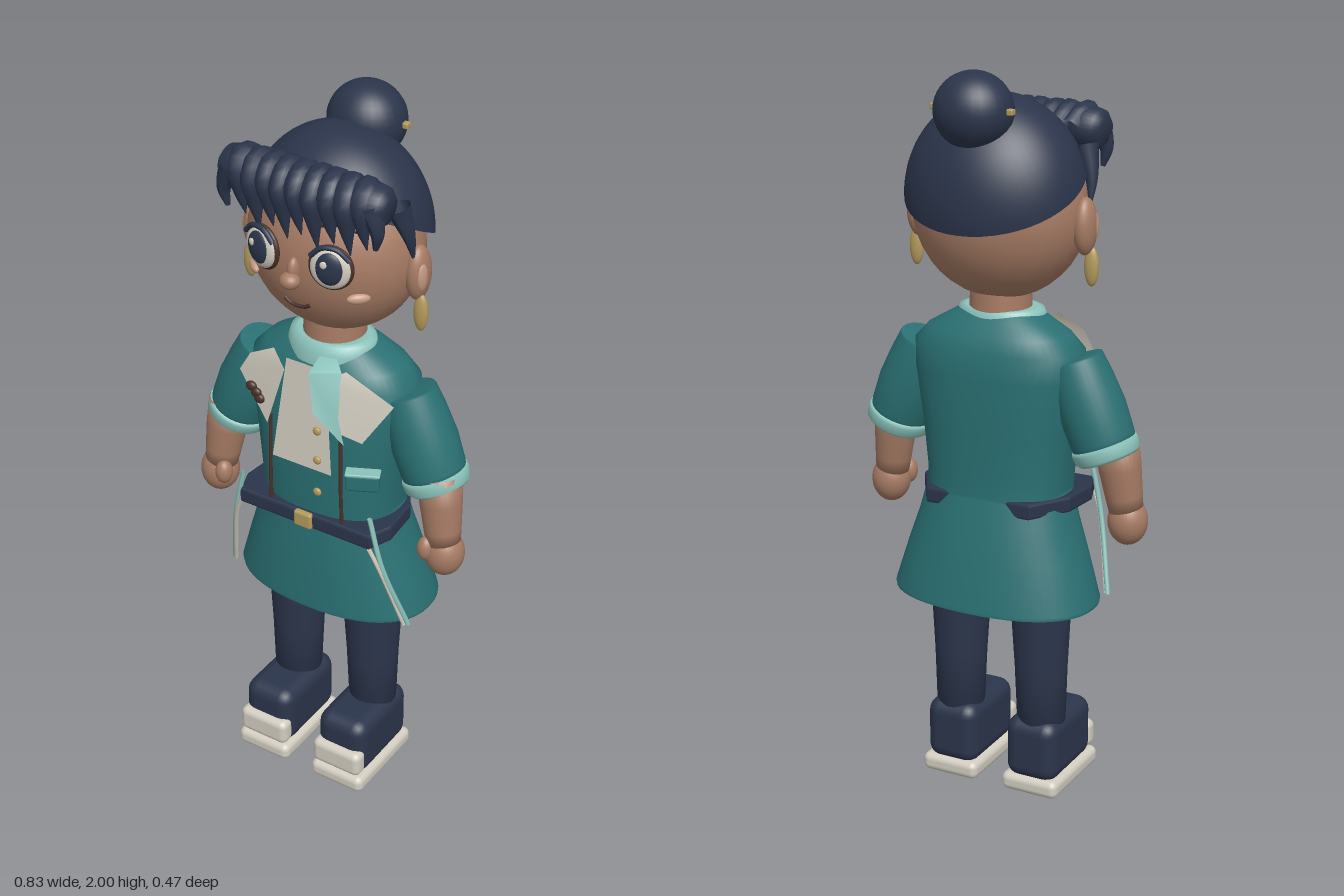
import * as THREE from 'three';
import { RoundedBoxGeometry } from 'three/addons/geometries/RoundedBoxGeometry.js';

const mat = (name, color, side = THREE.FrontSide) => {
  const m = new THREE.MeshStandardMaterial({ color, side });
  m.name = name;
  return m;
};
const V = (p) => new THREE.Vector3(...p);

export function createModel() {
  const root = new THREE.Group();
  const D = THREE.DoubleSide;
  const teal = mat('teal cloth', 0x2a7073), navy = mat('navy', 0x2b354b, D), skin = mat('skin', 0xa67b64),
    cream = mat('cream', 0xd3cdc0, D), mint = mat('pale teal', 0x8cc3bb, D), gold = mat('gold', 0xb39a5c),
    brown = mat('dark brown', 0x4a3028), blush = mat('blush', 0xc49a84);

  const add = (name, geo, material, pos = [0, 0, 0], parent = root) => {
    const m = new THREE.Mesh(geo, material);
    m.name = name;
    m.position.set(...pos);
    parent.add(m);
    return m;
  };
  const ball = (name, material, pos, r, parent = root) =>
    add(name, new THREE.SphereGeometry(1, 28, 20).scale(...r), material, pos, parent);
  const box = (name, material, pos, size, r = 0.01, parent = root) =>
    add(name, new RoundedBoxGeometry(...size, 3, r), material, pos, parent);

  // Closed body from stacked rings [y, half width, front z, back z]
  const loft = (rings, pow = 2, n = 48) => {
    const pos = [], idx = [], se = (v) => Math.sign(v) * Math.abs(v) ** (2 / pow);
    const ring = ([y, rx, zf, zb]) => {
      for (let j = 0; j < n; j++) {
        const a = (j / n) * Math.PI * 2, c = (zf + zb) / 2;
        pos.push(se(Math.cos(a)) * rx, y, c + se(Math.sin(a)) * (zf - zb) / 2);
      }
    };
    rings.forEach(ring);
    for (let i = 0; i < rings.length - 1; i++) for (let j = 0; j < n; j++) {
      const p = i * n + j, q = i * n + (j + 1) % n;
      idx.push(p, p + n, q, q, p + n, q + n);
    }
    [rings[0], rings[rings.length - 1]].forEach((r, k) => {
      const s = pos.length / 3;
      ring(r);
      pos.push(0, r[0], (r[2] + r[3]) / 2);
      for (let j = 0; j < n; j++) {
        const a = s + j, b = s + (j + 1) % n;
        idx.push(s + n, k ? b : a, k ? a : b);
      }
    });
    const g = new THREE.BufferGeometry();
    g.setAttribute('position', new THREE.Float32BufferAttribute(pos, 3));
    g.setIndex(idx);
    g.computeVertexNormals();
    return g;
  };

  // Round limb between two points; profile is [fraction of length, radius]
  const limb = (name, material, a, b, profile, parent = root) => {
    const A = V(a), dir = V(b).sub(A), len = dir.length();
    const pts = profile.map(([t, r]) => new THREE.Vector2(r, t * len));
    const m = add(name, new THREE.LatheGeometry(pts, 32), material, a, parent);
    m.quaternion.setFromUnitVectors(new THREE.Vector3(0, 1, 0), dir.normalize());
    return m;
  };

  // Flat cloth piece as a fan of corners
  const panel = (name, material, corners) => {
    const g = new THREE.BufferGeometry().setFromPoints(corners.map(V));
    g.setIndex(corners.slice(2).flatMap((_, i) => [0, i + 1, i + 2]));
    g.computeVertexNormals();
    return add(name, g, material);
  };

  // Tube along a curve, thinned by a taper rule
  const strand = (name, material, points, r, taper = () => 1, parent = root) => {
    const curve = new THREE.CatmullRomCurve3(points.map(V)), N = 16, R = 10;
    const g = new THREE.TubeGeometry(curve, N, r, R), p = g.attributes.position, v = new THREE.Vector3();
    for (let i = 0; i < p.count; i++) {
      const t = Math.floor(i / (R + 1)) / N, c = curve.getPointAt(t);
      v.fromBufferAttribute(p, i).sub(c).multiplyScalar(taper(t)).add(c);
      p.setXYZ(i, v.x, v.y, v.z);
    }
    g.computeVertexNormals();
    return add(name, g, material, [0, 0, 0], parent);
  };

  // Tunic and skirt
  add('tunic', loft([[0.86, 0.2, 0.145, -0.14], [0.92, 0.202, 0.148, -0.135], [1.05, 0.215, 0.15, -0.138],
    [1.2, 0.238, 0.145, -0.14], [1.27, 0.238, 0.128, -0.132], [1.31, 0.2, 0.112, -0.115],
    [1.345, 0.14, 0.09, -0.09], [1.365, 0.105, 0.08, -0.07]], 2.4), teal);
  add('skirt', loft([[0.57, 0.29, 0.165, -0.2], [0.58, 0.292, 0.166, -0.2], [0.7, 0.255, 0.16, -0.18],
    [0.8, 0.222, 0.152, -0.158], [0.89, 0.2, 0.142, -0.135]], 2.3), teal);

  // Belt, wide at the sides and sunk into the cloth at the back
  const bs = new THREE.Shape([[-0.2, 0.155], [0.2, 0.155], [0.225, 0.09], [0.215, -0.02], [0.15, -0.125], [-0.15, -0.125],
    [-0.215, -0.02], [-0.225, 0.09]].map(([x, z]) => new THREE.Vector2(x, -z)));
  const beltGeo = new THREE.ExtrudeGeometry(bs, { depth: 0.03, bevelSize: 0.006, bevelThickness: 0.007, bevelSegments: 2 });
  add('belt', beltGeo.rotateX(-Math.PI / 2), navy, [0, 0.843, 0]);
  box('buckle', gold, [0, 0.858, 0.16], [0.056, 0.048, 0.02], 0.008);

  // Collar, shirt front, lapels and scarf end
  add('neck', new THREE.CylinderGeometry(0.08, 0.085, 0.13, 32), skin, [0, 1.385, 0.005]);
  add('collar', loft([[1.315, 0.125, 0.115, -0.09], [1.345, 0.125, 0.112, -0.085], [1.368, 0.117, 0.1, -0.078],
    [1.372, 0.1, 0.09, -0.07]]), mint);
  panel('shirtFront', cream, [[-0.06, 1.33, 0.142], [-0.095, 1.03, 0.161], [0.088, 1.03, 0.161], [0.06, 1.33, 0.142]]);
  panel('rightLapel', cream, [[-0.06, 1.3, 0.152], [-0.11, 1.335, 0.125], [-0.185, 1.295, 0.125], [-0.22, 1.235, 0.125],
    [-0.11, 1.125, 0.162]]);
  panel('leftLapel', cream, [[0.06, 1.3, 0.152], [0.11, 1.17, 0.162], [0.175, 1.155, 0.15], [0.25, 1.275, 0.12],
    [0.11, 1.335, 0.125]]);
  panel('scarfEnd', mint, [[0.03, 1.33, 0.175], [0.055, 1.23, 0.195], [0.13, 1.14, 0.165], [0.115, 1.22, 0.17],
    [0.1, 1.33, 0.13]]);
  panel('scarfFold', mint, [[0.03, 1.33, 0.175], [0.1, 1.33, 0.13], [0.07, 1.35, 0.105], [0.02, 1.345, 0.11]]);
  for (const y of [1.155, 1.065, 0.965]) ball('button', gold, [0.046, y, 0.163], [0.012, 0.012, 0.007]);
  for (const [x, y] of [[-0.165, 1.215], [-0.15, 1.2], [-0.14, 1.185]])
    ball('brooch', brown, [x, y, 0.152], [0.016, 0.014, 0.01]);
  box('pocket', teal, [0.165, 1.025, 0.13], [0.09, 0.05, 0.035], 0.008).rotation.y = 0.45;
  box('pocketFlap', mint, [0.167, 1.052, 0.132], [0.092, 0.008, 0.038], 0.003).rotation.y = 0.45;

  for (const s of [-1, 1]) {
    const side = new THREE.Group();
    side.name = s > 0 ? 'leftLimbs' : 'rightLimbs';
    root.add(side);

    // Front seams and loose skirt trims
    strand('frontSeam', brown, [[s * 0.108, 1.15, 0.148], [s * 0.11, 1.0, 0.15], [s * 0.112, 0.88, 0.147]], 0.005);
    strand('skirtTrim', mint, [[s * 0.2, 0.93, 0.15], [s * 0.235, 0.78, 0.142], [s * 0.285, 0.575, 0.085]], 0.007);
    strand('trimEdge', cream, [[s * 0.205, 0.84, 0.16], [s * 0.228, 0.78, 0.148], [s * 0.276, 0.575, 0.092]], 0.006);

    // Arm: sleeve, cuff, forearm, hand
    const sh = [s * 0.22, 1.255, 0], el = [s * 0.315, 1.01, 0.003];
    limb('sleeve', teal, el, sh, [[0, 0], [0, 0.08], [0.15, 0.087], [0.45, 0.09], [0.75, 0.083], [0.98, 0.074],
      [1, 0.072], [1, 0]], side);
    limb('cuff', mint, el, sh, [[-0.04, 0], [-0.05, 0.08], [-0.02, 0.088], [0.07, 0.091], [0.11, 0.088], [0.11, 0.07]], side);
    limb('forearm', skin, [s * 0.357, 0.85, 0.035], [s * 0.33, 1.05, 0.02],
      [[0, 0], [0, 0.046], [0.2, 0.05], [0.6, 0.057], [1, 0.06], [1, 0]], side);
    ball('hand', skin, [s * 0.362, 0.82, 0.036], [0.054, 0.066, 0.054], side);
    ball('thumb', skin, [s * 0.325, 0.838, 0.07], [0.024, 0.036, 0.025], side);

    // Leg and shoe
    limb('leg', navy, [s * 0.127, 0.17, 0.005], [s * 0.122, 0.66, 0.005],
      [[0, 0], [0, 0.066], [0.4, 0.073], [0.8, 0.084], [1, 0.086], [1, 0]], side);
    box('shoeSole', cream, [s * 0.125, 0.026, 0.063], [0.17, 0.052, 0.28], 0.02, side);
    box('shoeUpper', navy, [s * 0.124, 0.13, 0.055], [0.155, 0.18, 0.255], 0.04, side);
    box('toeCap', cream, [s * 0.124, 0.096, 0.178], [0.155, 0.078, 0.05], 0.02, side);
  }

  // Head
  const head = new THREE.Group();
  head.name = 'head';
  root.add(head);
  ball('face', skin, [0, 1.63, 0], [0.238, 0.235, 0.192], head);
  ball('noseBridge', skin, [0, 1.625, 0.19], [0.016, 0.035, 0.022], head);
  ball('noseTip', skin, [0, 1.603, 0.209], [0.027, 0.022, 0.025], head);
  strand('mouth', brown, [[-0.038, 1.53, 0.174], [-0.02, 1.519, 0.173], [0, 1.516, 0.173], [0.02, 1.519, 0.173],
    [0.038, 1.53, 0.174]], 0.005, () => 1, head);

  for (const s of [-1, 1]) {
    // Layered eye, turned slightly outward
    const eye = new THREE.Group();
    eye.name = s > 0 ? 'leftEye' : 'rightEye';
    eye.position.set(s * 0.1, 1.655, 0.176);
    eye.rotation.y = s * 0.25;
    head.add(eye);
    ball('eyeRim', brown, [0, 0, 0], [0.059, 0.061, 0.018], eye);
    ball('eyeWhite', cream, [0, 0, 0.006], [0.053, 0.055, 0.018], eye);
    ball('iris', navy, [0, 0.002, 0.013], [0.038, 0.045, 0.016], eye);
    ball('eyeGlint', cream, [-0.012, 0.017, 0.027], [0.009, 0.01, 0.004], eye);
    strand('lash', navy, [[-0.05, 0.03, 0.012], [-0.02, 0.057, 0.015], [0.02, 0.057, 0.015], [0.05, 0.03, 0.012]], 0.007,
      () => 1, eye);
    strand('brow', brown, [[s * 0.06, 1.755, 0.165], [s * 0.1, 1.765, 0.155], [s * 0.15, 1.75, 0.135]], 0.008, () => 1, head);
    ball('cheek', blush, [s * 0.155, 1.567, 0.139], [0.03, 0.014, 0.012], head).rotation.y = s * 0.75;

    // Ear and earring
    ball('ear', skin, [s * 0.242, 1.605, 0.003], [0.03, 0.075, 0.042], head);
    ball('innerEar', blush, [s * 0.26, 1.605, 0.014], [0.012, 0.042, 0.022], head);
    ball('earring', gold, [s * 0.257, 1.5, 0.012], [0.02, 0.052, 0.014], head);

    // Side curl, sideburn and bun pin
    limb('sideCurl', navy, [s * 0.12, 1.84, 0.14], [s * 0.236, 1.825, 0.13],
      [[0, 0], [0, 0.045], [0.5, 0.058], [0.85, 0.053], [1, 0.035], [1, 0]], head);
    strand('hangingCurl', navy, [[s * 0.2, 1.84, 0.16], [s * 0.222, 1.78, 0.165], [s * 0.215, 1.73, 0.16]], 0.034,
      (t) => 1 - t * 0.8, head);
    strand('sideburn', navy, [[s * 0.215, 1.8, 0.06], [s * 0.238, 1.72, 0.045], [s * 0.243, 1.64, 0.025]], 0.032,
      (t) => 1.02 - t, head);
    box('bunPin', gold, [s * 0.106, 1.905, -0.148], [0.022, 0.016, 0.02], 0.004, head);
  }

  // Hair cap tilted back, and bun
  const cap = new THREE.SphereGeometry(1, 48, 24, 0, Math.PI * 2, 0, 1.42).rotateX(-0.39).scale(0.246, 0.268, 0.212);
  add('hairCap', cap, navy, [0, 1.663, -0.018], head);
  ball('bun', navy, [0, 1.9, -0.14], [0.104, 0.1, 0.098], head);

  // Fringe of curled locks
  for (let i = 0; i < 9; i++) {
    const x = (i - 4) * 0.044, drop = [0.03, 0, 0.025, 0.005][i % 4], z = 0.19 - Math.abs(x) * 0.1;
    strand('fringeLock', navy, [[x * 0.9, 1.83, 0.09], [x, 1.868, 0.14], [x + 0.006, 1.835, z - 0.005],
      [x + 0.012, 1.775, z], [x + 0.02, 1.695 + drop, z - 0.005]], 0.034, (t) => Math.min(1, 1.9 * (1.02 - t)), head);
  }
  return root;
}
